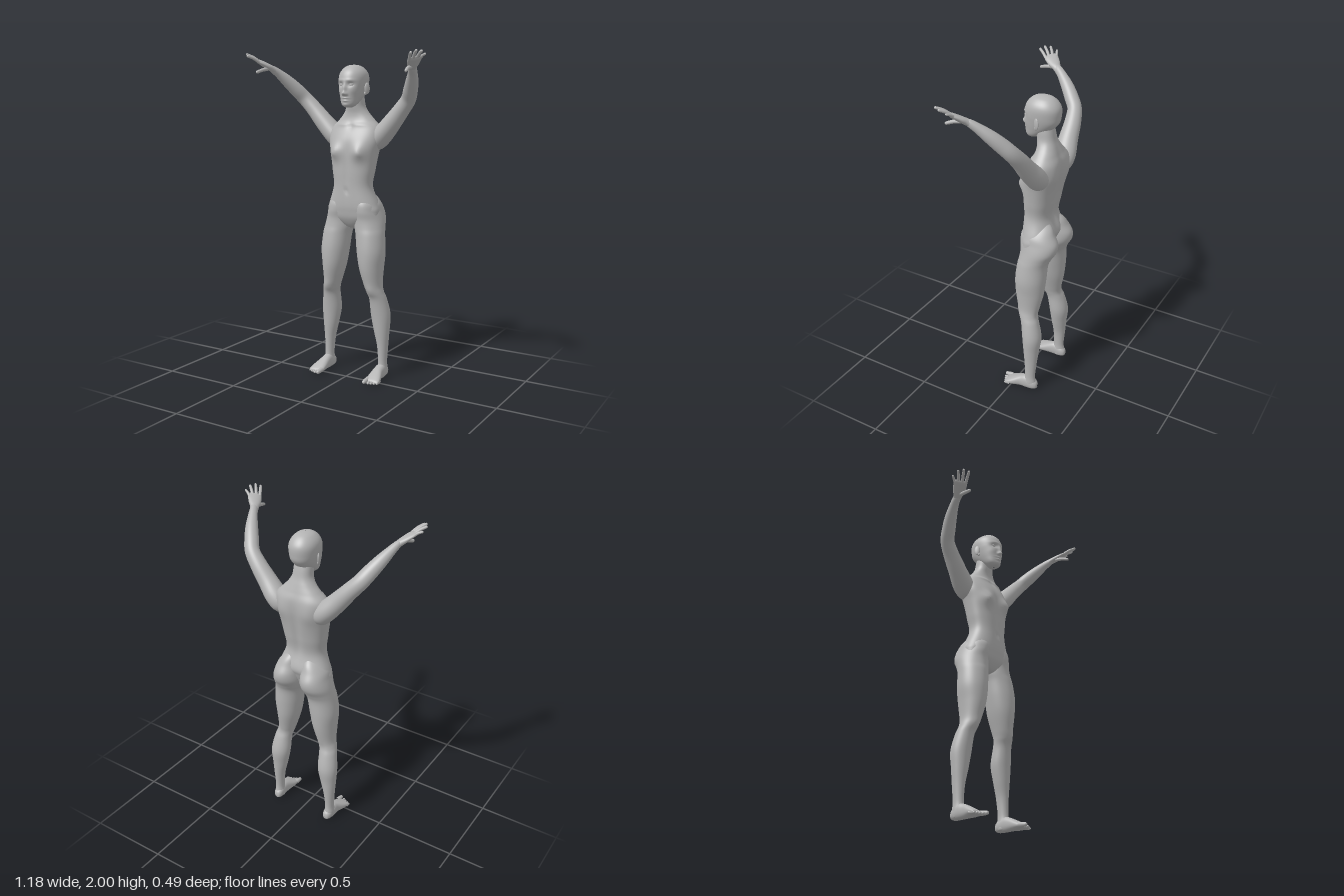
import * as THREE from 'three';

const V = (x, y, z) => new THREE.Vector3(x, y, z);

// Smooth skin through sections [x, y, z, halfWidth, halfDepth].
// ref: direction of halfDepth; dir: fixed ring normal (else follows the path);
// power: ring squareness; bumps: [x, y, sizeX, sizeY, height, side] pushed along z.
function loft(rows, { ref = V(0, 0, 1), dir = null, segs = 32, steps = 6, power = 2, bumps = [], floor = -1 } = {}) {
  const path = new THREE.CatmullRomCurve3(rows.map(r => V(r[0], r[1], r[2])), false, 'catmullrom');
  const size = new THREE.CatmullRomCurve3(rows.map(r => V(r[3], r[4], 0)), false, 'catmullrom');
  const n = (rows.length - 1) * steps, pos = [], index = [];
  const round = c => Math.sign(c) * Math.abs(c) ** (2 / power);
  for (let i = 0; i <= n; i++) {
    const c = path.getPoint(i / n), s = size.getPoint(i / n);
    const t = dir || path.getTangent(i / n);
    const v = ref.clone().addScaledVector(t, -ref.dot(t)).normalize();
    const u = t.clone().cross(v).normalize();
    for (let j = 0; j < segs; j++) {
      const a = j / segs * Math.PI * 2, cos = Math.cos(a);
      const p = c.clone()
        .addScaledVector(u, Math.max(s.x, 0.0005) * round(Math.sin(a)))
        .addScaledVector(v, Math.max(s.y, 0.0005) * round(cos));
      let push = 0;
      for (const [x, y, sx, sy, h, side] of bumps) {
        const g = Math.exp(-(((Math.abs(p.x) - x) / sx) ** 2 + ((p.y - y) / sy) ** 2) / 2);
        push += side * h * g * Math.max(0, side * cos);
      }
      pos.push(p.x, Math.max(p.y, floor), p.z + push);
      if (i < n) {
        const k = i * segs + j, l = i * segs + (j + 1) % segs;
        index.push(k, l, k + segs, l, l + segs, k + segs);
      }
    }
  }
  const g = new THREE.BufferGeometry();
  g.setAttribute('position', new THREE.Float32BufferAttribute(pos, 3));
  g.setIndex(index);
  g.computeVertexNormals();
  return g;
}

// Mirror a geometry across x = 0, keeping faces outward.
function mirrored(geo) {
  const g = geo.clone().scale(-1, 1, 1), id = g.index.array;
  for (let i = 0; i < id.length; i += 3) [id[i], id[i + 1]] = [id[i + 1], id[i]];
  g.computeVertexNormals();
  return g;
}

// Tapered, round-tipped digit through base, middle and tip.
function digit(base, mid, tip, r, ref) {
  const d = tip.clone().sub(mid).normalize();
  const at = (p, k, s) => [p.x + d.x * k * r, p.y + d.y * k * r, p.z + d.z * k * r, r * s, r * s];
  return loft([at(base, 0, 1.1), at(mid, 0, 1.02), at(tip, -1.2, 0.9), at(tip, -0.4, 0.72), at(tip, -0.08, 0.38), at(tip, 0, 0.02)],
    { ref, segs: 12, steps: 3 });
}

function ball(rx, ry, rz, x, y, z, turn = 0) {
  return new THREE.SphereGeometry(1, 24, 16).scale(rx, ry, rz).rotateY(turn).translate(x, y, z);
}

export function createModel() {
  const model = new THREE.Group();
  model.name = 'figure';
  const skin = new THREE.MeshStandardMaterial({ color: 0xb4b4b4 });
  skin.name = 'grey skin';
  const add = (name, geo, parent = model) => {
    const m = new THREE.Mesh(geo, skin);
    m.name = name;
    parent.add(m);
  };
  const up = V(0, 1, 0);

  // Torso and neck
  add('torso', loft([
    [0, 0.935, -0.1, 0.004, 0.01], [0, 0.95, -0.095, 0.05, 0.045], [0, 1.0, -0.09, 0.16, 0.073],
    [0, 1.05, -0.095, 0.175, 0.09], [0, 1.1, -0.1, 0.161, 0.1], [0, 1.2, -0.088, 0.126, 0.087],
    [0, 1.3, -0.095, 0.138, 0.095], [0, 1.4, -0.105, 0.154, 0.102], [0, 1.48, -0.115, 0.17, 0.103],
    [0, 1.55, -0.13, 0.162, 0.088], [0, 1.6, -0.134, 0.118, 0.068], [0, 1.64, -0.13, 0.082, 0.058],
    [0, 1.68, -0.12, 0.06, 0.054], [0, 1.73, -0.11, 0.055, 0.053], [0, 1.78, -0.1, 0.05, 0.05],
  ], {
    dir: up, segs: 80, steps: 7, power: 2.3, bumps: [
      [0.088, 1.41, 0.034, 0.034, 0.034, 1],    // breasts
      [0.092, 1.4, 0.009, 0.009, 0.006, 1],
      [0, 1.175, 0.008, 0.01, -0.008, 1],       // navel
      [0, 1.3, 0.012, 0.1, -0.006, 1],          // midline
      [0.07, 1.575, 0.05, 0.008, 0.006, 1],     // collarbones
      [0, 1.565, 0.014, 0.014, -0.008, 1],
      [0, 1.34, 0.018, 0.15, -0.014, -1],       // spine
      [0.095, 1.48, 0.035, 0.05, 0.012, -1],    // shoulder blades
    ],
  }));

  // Head with sculpted face
  const head = new THREE.Group();
  head.name = 'head';
  model.add(head);
  add('skull', loft([
    [0, 1.676, -0.035, 0.004, 0.006], [0, 1.681, -0.034, 0.027, 0.03], [0, 1.7, -0.043, 0.048, 0.05],
    [0, 1.74, -0.071, 0.064, 0.084], [0, 1.78, -0.088, 0.075, 0.103], [0, 1.82, -0.092, 0.082, 0.108],
    [0, 1.86, -0.095, 0.083, 0.105], [0, 1.89, -0.095, 0.073, 0.091], [0, 1.915, -0.095, 0.051, 0.065],
    [0, 1.927, -0.095, 0.027, 0.036], [0, 1.931, -0.095, 0.001, 0.001],
  ], {
    dir: up, segs: 112, steps: 11, power: 2.15, bumps: [
      [0, 1.788, 0.008, 0.022, 0.013, 1],       // nose bridge
      [0, 1.761, 0.009, 0.009, 0.017, 1],       // nose tip
      [0.013, 1.757, 0.005, 0.006, 0.008, 1],   // nostrils
      [0.034, 1.814, 0.015, 0.01, -0.013, 1],   // eye sockets
      [0.034, 1.838, 0.022, 0.007, 0.004, 1],   // brows
      [0.05, 1.775, 0.015, 0.016, 0.006, 1],    // cheekbones
      [0, 1.733, 0.015, 0.004, 0.007, 1],       // lips
      [0, 1.718, 0.013, 0.005, 0.008, 1],
      [0, 1.726, 0.02, 0.002, -0.003, 1],
      [0, 1.693, 0.016, 0.01, 0.007, 1],        // chin
    ],
  }), head);
  const eye = ball(0.0145, 0.0075, 0.011, 0.034, 1.813, -0.005, 0.25);
  const ear = ball(0.007, 0.034, 0.019, 0.089, 1.79, -0.098, -0.45);
  const lobe = ball(0.006, 0.012, 0.01, 0.082, 1.762, -0.09, -0.3);

  // Leg with buttock, thigh, knee and calf
  const leg = loft([
    [0.05, 1.2, -0.11, 0.01, 0.02], [0.07, 1.15, -0.116, 0.05, 0.075], [0.085, 1.1, -0.115, 0.076, 0.104],
    [0.092, 1.05, -0.125, 0.085, 0.119], [0.098, 1.0, -0.126, 0.093, 0.113], [0.106, 0.95, -0.11, 0.094, 0.1],
    [0.117, 0.9, -0.096, 0.09, 0.095], [0.128, 0.8, -0.088, 0.087, 0.097], [0.133, 0.7, -0.085, 0.073, 0.09],
    [0.145, 0.6, -0.085, 0.056, 0.07], [0.157, 0.55, -0.09, 0.053, 0.06], [0.169, 0.5, -0.107, 0.055, 0.057],
    [0.178, 0.4, -0.125, 0.062, 0.06], [0.185, 0.3, -0.125, 0.05, 0.05], [0.193, 0.2, -0.125, 0.034, 0.04],
    [0.195, 0.1, -0.122, 0.027, 0.034], [0.195, 0.05, -0.121, 0.03, 0.041], [0.193, 0.012, -0.122, 0.027, 0.04],
    [0.193, 0.004, -0.122, 0.004, 0.006],
  ].reverse(), {
    dir: up, segs: 48, bumps: [
      [0.155, 0.56, 0.02, 0.025, 0.006, 1],     // kneecap
      [0.157, 0.55, 0.015, 0.04, -0.004, -1],   // hollow of the knee
    ],
  });

  // Foot and toes
  const foot = loft([
    [0.192, 0.028, -0.173, 0.003, 0.004], [0.192, 0.03, -0.167, 0.018, 0.022], [0.193, 0.036, -0.145, 0.029, 0.036],
    [0.195, 0.042, -0.1, 0.032, 0.046], [0.195, 0.037, -0.06, 0.034, 0.04], [0.2, 0.026, -0.015, 0.043, 0.029],
    [0.204, 0.018, 0.02, 0.047, 0.018], [0.205, 0.014, 0.037, 0.044, 0.011], [0.205, 0.012, 0.044, 0.03, 0.003],
  ], { ref: up, dir: V(0, 0, 1), segs: 36, power: 2.3, floor: 0 });
  const toes = [0, 1, 2, 3, 4].map(i => {
    const x = i ? 0.176 + i * 0.0168 : 0.168, r = i ? 0.0095 - i * 0.0005 : 0.014;
    return digit(V(x, r + 0.006, 0.018 - i * 0.004), V(x, r + 0.003, 0.045 - i * 0.007), V(x, r, 0.077 - i * 0.008), r, up);
  });

  // Raised arm
  const arm = loft([
    [0.09, 1.43, -0.135, 0.02, 0.02], [0.125, 1.465, -0.138, 0.055, 0.058], [0.17, 1.51, -0.14, 0.061, 0.069],
    [0.24, 1.585, -0.13, 0.056, 0.058], [0.305, 1.66, -0.122, 0.049, 0.05], [0.362, 1.725, -0.104, 0.045, 0.043],
    [0.396, 1.777, -0.064, 0.043, 0.042], [0.43, 1.83, -0.015, 0.037, 0.037], [0.46, 1.878, 0.038, 0.027, 0.028],
    [0.479, 1.906, 0.078, 0.02, 0.024], [0.49, 1.917, 0.095, 0.012, 0.016],
  ], { segs: 36 });

  // Hand with palm, four spread fingers and thumb
  const across = V(-0.6, -0.1, 0.8).normalize();
  const palm = loft([
    [0.468, 1.892, 0.06, 0.017, 0.022], [0.482, 1.909, 0.085, 0.019, 0.026], [0.497, 1.923, 0.108, 0.018, 0.035],
    [0.518, 1.942, 0.137, 0.015, 0.041], [0.532, 1.953, 0.155, 0.011, 0.039], [0.539, 1.959, 0.164, 0.002, 0.03],
  ], { ref: across, segs: 28 });
  const knuckles = V(0.526, 1.948, 0.148);
  const fingers = [[0.59, 1.978, 0.143], [0.59, 1.993, 0.188], [0.573, 1.995, 0.22], [0.55, 1.983, 0.241]].map((t, i) => {
    const base = knuckles.clone().addScaledVector(across, (i - 1.5) * 0.021), tip = V(...t);
    const mid = base.clone().lerp(tip, 0.5).add(V(-0.002, 0.004, -0.002));
    return digit(base, mid, tip, i ? 0.0088 : 0.0075, across);
  });
  const thumb = digit(V(0.486, 1.908, 0.115), V(0.492, 1.9, 0.162), V(0.505, 1.884, 0.211), 0.0105, across);

  // Place every paired part on both sides
  for (const [side, flip] of [['left', g => g], ['right', mirrored]]) {
    const limb = (name, parts) => {
      const group = new THREE.Group();
      group.name = side + name;
      model.add(group);
      for (const [part, geo] of parts) add(part, flip(geo), group);
    };
    limb('FaceParts', [['eye', eye], ['ear', ear], ['earLobe', lobe]]);
    limb('Leg', [['leg', leg], ['foot', foot], ...toes.map((g, i) => ['toe' + (i + 1), g])]);
    limb('Arm', [['arm', arm], ['palm', palm], ['thumb', thumb], ...fingers.map((g, i) => ['finger' + (i + 1), g])]);
  }
  return model;
}
